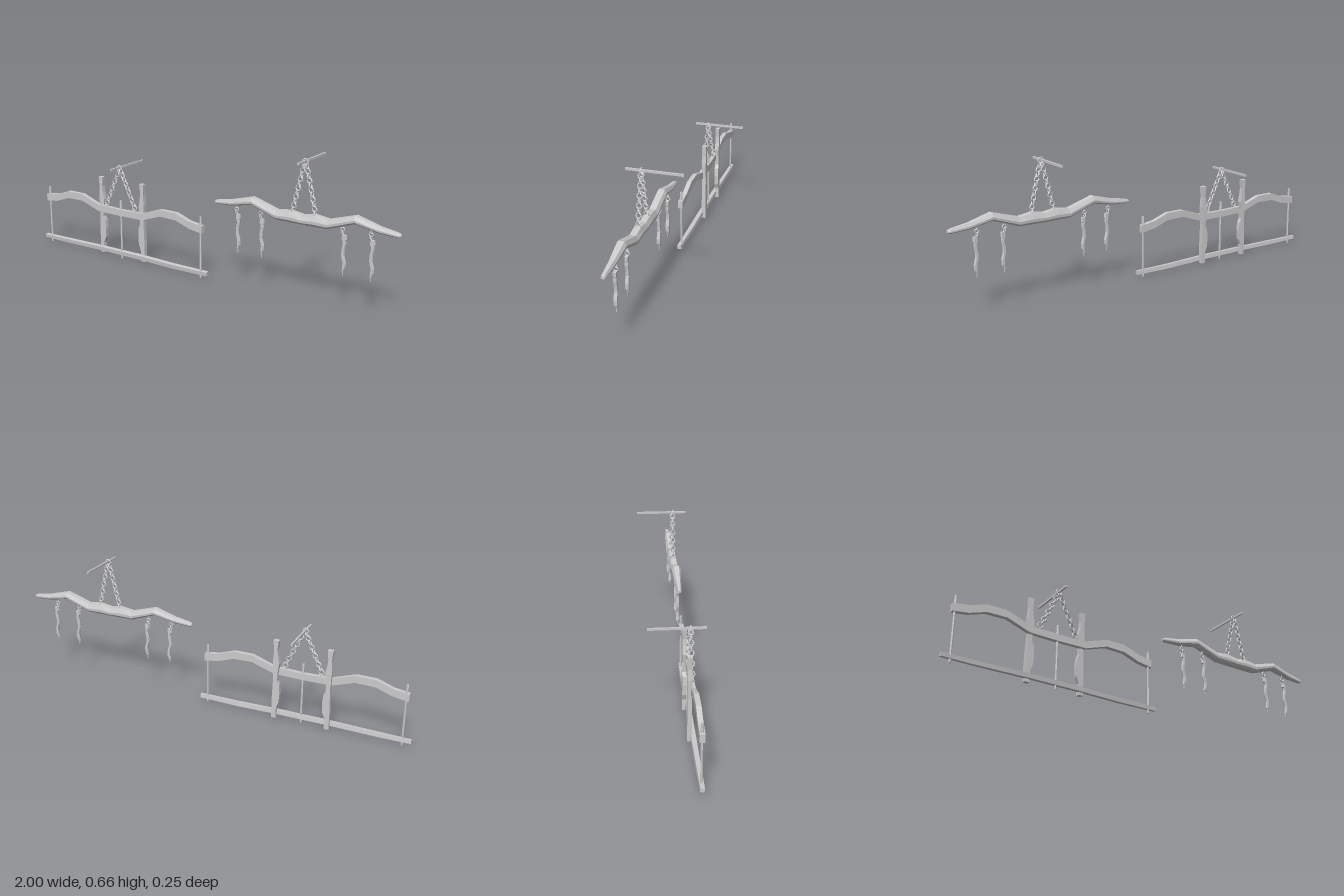
import * as THREE from 'three';

const Z = 0.058;         // plane in which both yokes hang
const AX = -0.475;       // centre of the framed yoke
const BX = 0.548;        // centre of the carved yoke
const mat = new THREE.MeshStandardMaterial({ color: 0xcccccc, flatShading: true, side: THREE.DoubleSide });

function mesh(parent, name, geo, x = 0, y = 0, z = 0) {
  const m = new THREE.Mesh(geo, mat);
  m.name = name;
  m.position.set(x, y, z);
  parent.add(m);
  return m;
}

// Skin a list of rings (arrays of [x, y, z]) and close both ends
function loft(rings) {
  const n = rings[0].length, idx = [], last = (rings.length - 1) * n;
  for (let i = 0; i < rings.length - 1; i++) {
    for (let j = 0; j < n; j++) {
      const a = i * n + j, b = i * n + (j + 1) % n;
      idx.push(a, b, b + n, a, b + n, a + n);
    }
  }
  for (let j = 1; j < n - 1; j++) {
    idx.push(0, j + 1, j, last, last + j, last + j + 1);
  }
  const g = new THREE.BufferGeometry();
  g.setAttribute('position', new THREE.Float32BufferAttribute(rings.flat(2), 3));
  g.setIndex(idx);
  const flat = g.toNonIndexed();
  flat.computeVertexNormals();
  return flat;
}

// Beam along x: stations [x, bottom, top, half depth], unit section [z, y]
const SQUARE = [[-1, 1], [1, 1], [1, -1], [-1, -1]];
const TILTED = [[-0.8, 1], [1, 0.8], [0.8, -1], [-1, -0.8]];
const CARVED = [[-0.6, 1], [0.6, 1], [1, 0], [0.95, -0.55], [0.55, -1], [-0.55, -1], [-0.95, -0.55], [-1, 0]];
const beam = (stations, section) => loft(stations.map(([x, lo, hi, d]) =>
  section.map(([sz, sy]) => [x, (lo + hi) / 2 + sy * (hi - lo) / 2, Z + sz * d])));

// Mirror the left half of a station list to the right
const mirrored = (half, cx) => [
  ...half.map(([dx, ...r]) => [cx - dx, ...r]),
  ...half.slice().reverse().filter(s => s[0] > 0).map(([dx, ...r]) => [cx + dx, ...r]),
];

// Interlocking links, each turned a quarter from the last
function chain(parent, top, bottom, count) {
  const g = new THREE.Group();
  g.name = 'chain';
  const dx = bottom[0] - top[0], dy = bottom[1] - top[1];
  for (let i = 0; i < count; i++) {
    const t = i / (count - 1);
    const link = mesh(g, 'chainLink', new THREE.TorusGeometry(0.0108, 0.0038, 4, 8), top[0] + dx * t, top[1] + dy * t, Z);
    link.rotation.order = 'ZYX';
    link.rotation.z = Math.atan2(-dx, dy) + Math.PI;
    link.rotation.y = i % 2 ? 0 : Math.PI / 2;
    link.scale.y = 1.1;
  }
  parent.add(g);
}

// Hanging bar running front to back, with the ring it carries
function hanger(parent, x, y) {
  mesh(parent, 'hangingBar', new THREE.BoxGeometry(0.008, 0.01, 0.25), x, y, 0);
  mesh(parent, 'topRing', new THREE.TorusGeometry(0.0135, 0.004, 5, 10), x, y - 0.004, Z);
}

function framedYoke() {
  const g = new THREE.Group();
  g.name = 'framedYoke';

  // Arched upper beam
  mesh(g, 'upperBeam', beam(mirrored([
    [0.498, 0.225, 0.262, 0.011], [0.425, 0.236, 0.272, 0.011], [0.345, 0.264, 0.3, 0.011],
    [0.25, 0.266, 0.3, 0.011], [0.14, 0.228, 0.262, 0.01], [0, 0.226, 0.258, 0.01],
  ], AX), SQUARE));

  // Rough lower bar
  mesh(g, 'lowerBar', beam([
    [-1, 0.018, 0.036, 0.01], [-0.87, 0.016, 0.037, 0.011], [-0.6, 0.019, 0.041, 0.012],
    [-0.35, 0.018, 0.041, 0.012], [-0.15, 0.014, 0.036, 0.012], [0.048, 0.016, 0.037, 0.01],
  ], TILTED));

  // Upright rods with thicker heads and feet
  for (const dx of [-0.483, 0, 0.485]) {
    mesh(g, 'rod', new THREE.CylinderGeometry(0.005, 0.005, 0.3, 6), AX + dx, 0.15, Z);
    mesh(g, 'rodHead', new THREE.CylinderGeometry(0.006, 0.007, 0.045, 6), AX + dx, 0.282, Z);
    mesh(g, 'rodFoot', new THREE.CylinderGeometry(0.006, 0.005, 0.012, 6), AX + dx, 0.006, Z);
  }

  for (const s of [-1, 1]) {
    // Wavy board behind the beam, bulging towards the middle
    const edge = [[0.12, 0.006], [0.12, 0.06], [0.108, 0.09], [0.105, 0.14], [0.109, 0.18], [0.119, 0.2],
      [0.117, 0.25], [0.111, 0.29], [0.119, 0.33], [0.122, 0.36], [0.117, 0.405]];
    const back = [[0.143, 0.405], [0.139, 0.35], [0.143, 0.3], [0.139, 0.21], [0.143, 0.1], [0.143, 0.006]];
    const shape = new THREE.Shape([...edge, ...back].map(([d, y]) => new THREE.Vector2(s * d, y)));
    mesh(g, 'backBoard', new THREE.ExtrudeGeometry(shape, { depth: 0.02, bevelEnabled: false }), AX - 0.002, 0, 0.033);

    // Chain down to an eye on the beam
    chain(g, [AX + s * 0.008, 0.453], [AX + s * 0.081, 0.295], 9);
    mesh(g, 'beamEye', new THREE.TorusGeometry(0.0125, 0.004, 5, 10), AX + s * 0.088, 0.279, Z);
    mesh(g, 'eyeStem', new THREE.CylinderGeometry(0.004, 0.004, 0.014, 6), AX + s * 0.088, 0.261, Z);
  }
  hanger(g, AX - 0.003, 0.472);
  return g;
}

// Short link and a crooked leather strap below the carved yoke
function strap(parent, x) {
  const g = new THREE.Group();
  g.name = 'strap';
  const path = [ // [dx, y, half width, half depth]
    [0.003, 0.188, 0.006, 0.006], [0.008, 0.205, 0.008, 0.008], [0.009, 0.228, 0.008, 0.008],
    [0, 0.262, 0.008, 0.007], [0.001, 0.285, 0.008, 0.007], [0.006, 0.315, 0.008, 0.007],
    [0.004, 0.328, 0.009, 0.007], [0.003, 0.332, 0.013, 0.007], [0.003, 0.352, 0.012, 0.007],
  ];
  mesh(g, 'strapBody', loft(path.map(([dx, y, w, d]) =>
    [[-0.6, 1], [0.6, 1], [1, 0], [0.6, -1], [-0.6, -1], [-1, 0]].map(([sx, sz]) => [x + dx + sx * w, y, Z + sz * d]))));
  mesh(g, 'strapTip', new THREE.CylinderGeometry(0.003, 0.002, 0.02, 5), x + 0.004, 0.179, Z);
  mesh(g, 'strapLoop', new THREE.TorusGeometry(0.009, 0.003, 4, 8), x - 0.005, 0.36, Z).rotation.y = Math.PI / 2;
  mesh(g, 'strapEye', new THREE.TorusGeometry(0.009, 0.003, 4, 8), x - 0.005, 0.375, Z);
  mesh(g, 'strapPeg', new THREE.CylinderGeometry(0.003, 0.003, 0.018, 5), x - 0.005, 0.39, Z);
  parent.add(g);
}

function carvedYoke() {
  const g = new THREE.Group();
  g.name = 'carvedYoke';

  // Winged, faceted beam, tapering to the tips
  mesh(g, 'carvedBeam', beam(mirrored([
    [0.452, 0.388, 0.4, 0.009], [0.44, 0.385, 0.405, 0.011], [0.36, 0.39, 0.418, 0.016],
    [0.252, 0.412, 0.447, 0.023], [0.125, 0.367, 0.408, 0.024], [0.06, 0.366, 0.417, 0.024], [0, 0.366, 0.407, 0.024],
  ], BX), CARVED));

  for (const x of [0.215, 0.341, 0.745, 0.874]) strap(g, x);
  for (const s of [-1, 1]) chain(g, [BX + 0.005 + s * 0.008, 0.622], [BX + 0.005 + s * 0.055, 0.42], 11);
  hanger(g, BX + 0.005, 0.645);
  return g;
}

export function createModel() {
  const model = new THREE.Group();
  model.name = 'yokes';
  model.add(framedYoke(), carvedYoke());
  return model;
}
